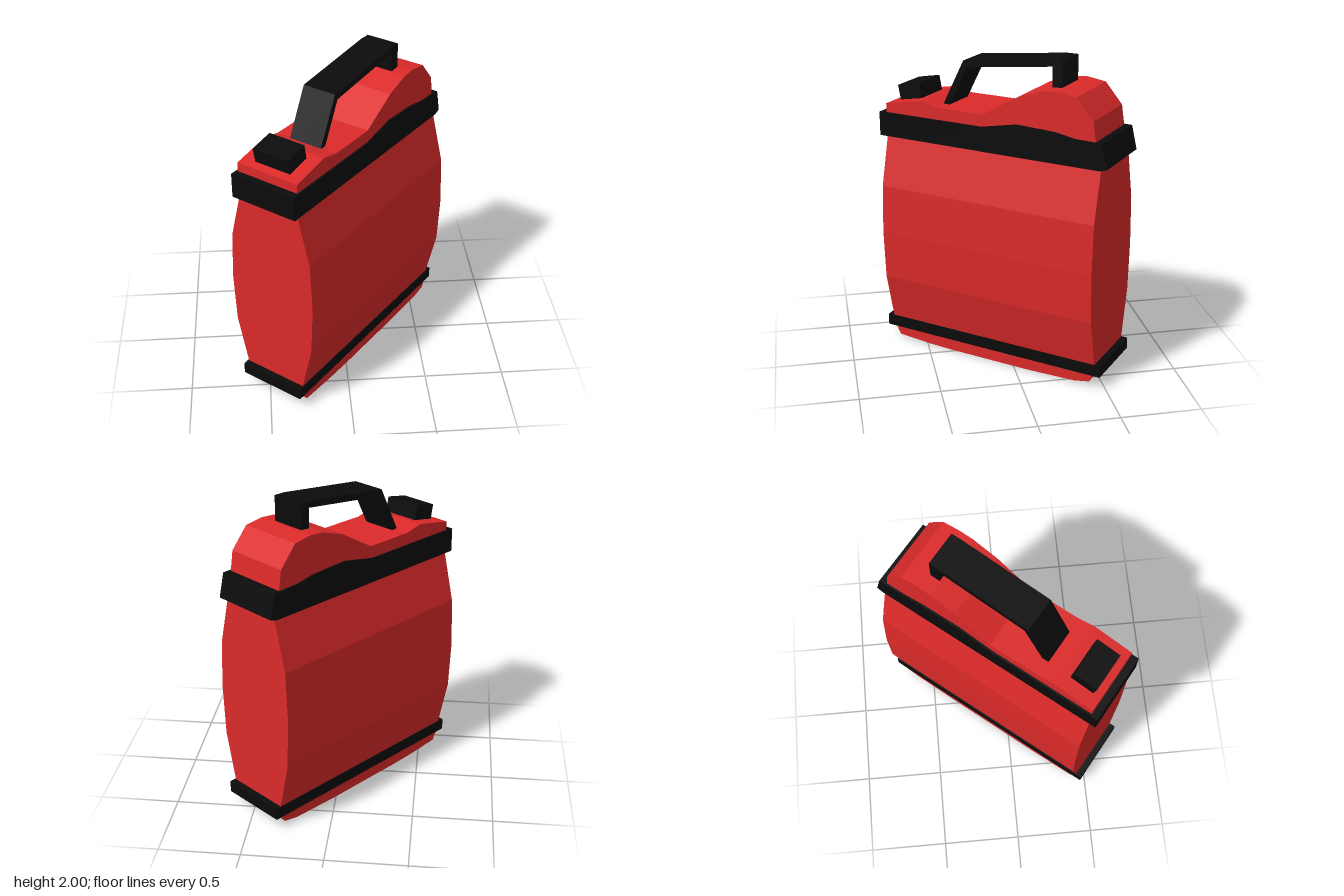
import * as THREE from 'three';

const red = new THREE.MeshStandardMaterial({ color: 0xdb2a2a, flatShading: true });
const black = new THREE.MeshStandardMaterial({ color: 0x0b0b0b, flatShading: true });

// Flat-sided solid: a side outline (length, height) given a thickness centred on z
function slab(name, points, thickness, material) {
  const shape = new THREE.Shape(points.map(([x, y]) => new THREE.Vector2(x, y)));
  const geometry = new THREE.ExtrudeGeometry(shape, { depth: thickness, bevelEnabled: false });
  geometry.translate(0, 0, -thickness / 2);
  const mesh = new THREE.Mesh(geometry, material);
  mesh.name = name;
  return mesh;
}

export function createModel() {
  const can = new THREE.Group();
  can.name = 'fuelCan';

  // Bulging tank: cross-section (half thickness, height) run along the length
  const bulge = [[0.21, 0.12], [0.212, 0.15], [0.285, 0.47], [0.3, 0.79], [0.285, 1.1], [0.205, 1.42], [0.205, 1.5]];
  const section = [...bulge, ...bulge.map(([w, y]) => [-w, y]).reverse()];
  const tank = slab('tank', section, 1.47, red);
  tank.rotation.y = Math.PI / 2;
  can.add(tank);

  // Base with chamfered ends
  can.add(slab('base', [
    [-0.735, 0.13], [-0.735, 0.11], [-0.69, 0.02], [-0.47, 0.005], [-0.3, 0], [0.28, 0],
    [0.6, 0.01], [0.7, 0.03], [0.735, 0.11], [0.735, 0.13],
  ], 0.42, red));

  // Top shell: low at the spout, humped at the other end
  can.add(slab('topShell', [
    [-0.735, 1.45], [0.73, 1.45], [0.7, 1.57], [0.68, 1.7], [0.57, 1.828], [0.45, 1.845],
    [0.36, 1.838], [0.2, 1.785], [-0.04, 1.645], [-0.36, 1.645], [-0.48, 1.672], [-0.735, 1.625],
  ], 0.42, red));

  // Bands around the tank
  can.add(slab('upperBand', [
    [-0.78, 1.415], [0.735, 1.415], [0.78, 1.43], [0.745, 1.578], [0.565, 1.582], [0.44, 1.605],
    [0.185, 1.615], [-0.05, 1.568], [-0.78, 1.568],
  ], 0.446, black));
  can.add(slab('lowerBand', [
    [-0.775, 0.08], [0.775, 0.08], [0.775, 0.155], [-0.775, 0.155],
  ], 0.44, black));

  // Handle: slanted leg, rising grip and short upright leg
  can.add(slab('handle', [
    [-0.38, 1.635], [-0.335, 1.635], [-0.205, 1.893], [0.37, 1.962], [0.37, 1.83],
    [0.433, 1.83], [0.433, 2], [0.36, 2], [-0.23, 1.933],
  ], 0.22, black));

  // Tilted spout cap
  can.add(slab('cap', [
    [-0.68, 1.625], [-0.525, 1.65], [-0.545, 1.757], [-0.7, 1.727],
  ], 0.245, black));

  // The can stands turned on the spot
  can.rotation.y = 0.887;
  const model = new THREE.Group();
  model.add(can);
  return model;
}
